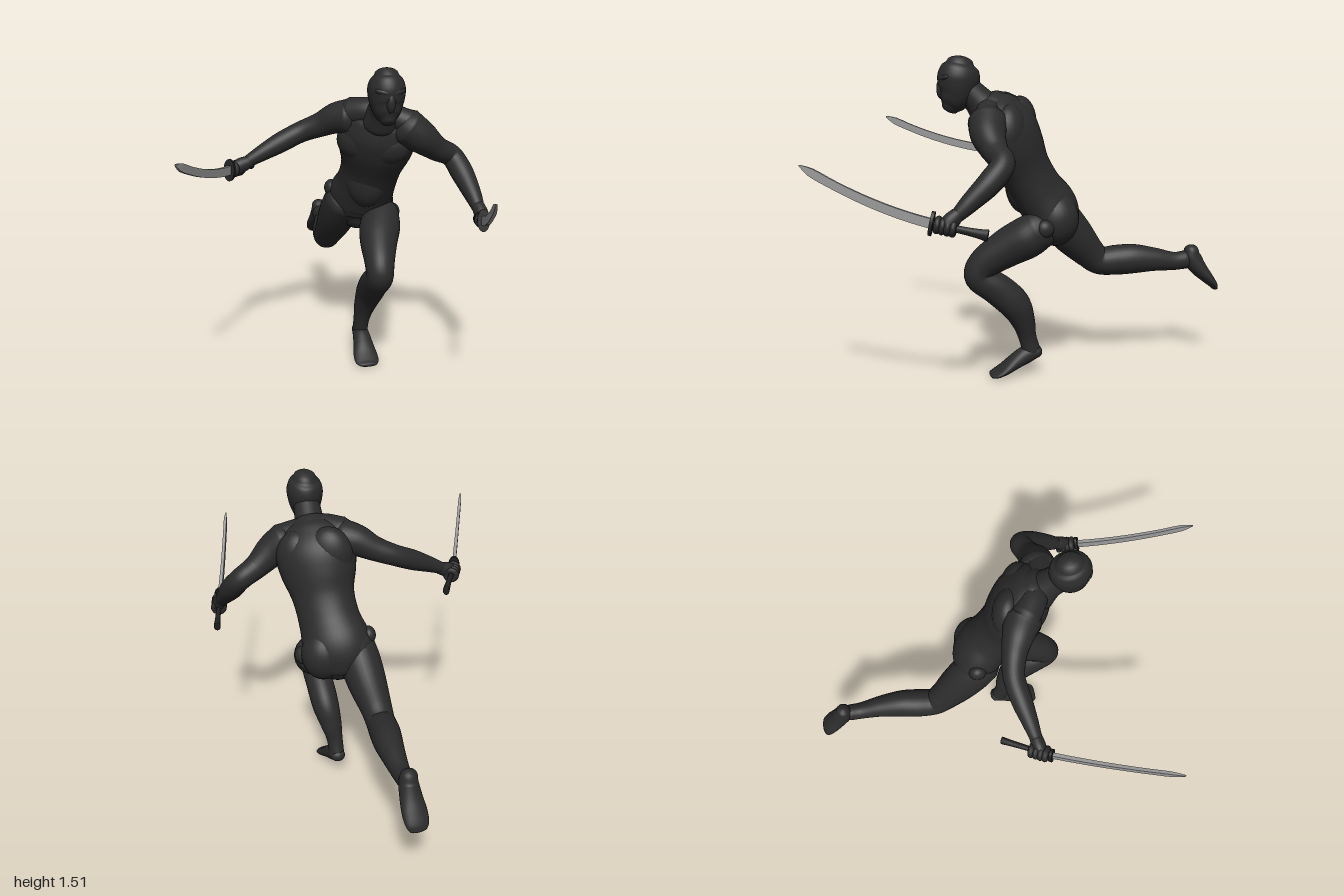
import * as THREE from 'three';

const V = (x, y, z) => new THREE.Vector3(x, y, z);
const X = V(1, 0, 0), Y = V(0, 1, 0);

const cloth = new THREE.MeshStandardMaterial({ color: 0x2b2b2b });
cloth.name = 'charcoal cloth';
const grip = new THREE.MeshStandardMaterial({ color: 0x222222 });
grip.name = 'dark grip';
const steel = new THREE.MeshStandardMaterial({ color: 0x9a9a9a });
steel.name = 'steel';

// Smooth body through sections [x, y, z, radiusA, radiusB]; radiusA lies along the side vector.
function loft(name, sections, { side = X, sideEnd = side, sides = 28, phase = 0, steps = 6, round = 0.6, mat = cloth, flat = false } = {}) {
  const path = new THREE.CatmullRomCurve3(sections.map(s => V(s[0], s[1], s[2])), false, 'catmullrom');
  const size = new THREE.CatmullRomCurve3(sections.map(s => V(s[3], s[4] ?? s[3], 0)), false, 'catmullrom');
  const n = (sections.length - 1) * steps;
  const rings = [];
  const addRing = (t, scale, shift) => {
    const tangent = path.getTangent(t), r = size.getPoint(t);
    const a = side.clone().lerp(sideEnd, t);
    a.addScaledVector(tangent, -a.dot(tangent)).normalize();
    const b = tangent.clone().cross(a);
    const c = path.getPoint(t).addScaledVector(tangent, shift * Math.min(r.x, r.y) * round);
    rings.push({ c, a: a.multiplyScalar(r.x * scale), b: b.multiplyScalar(r.y * scale) });
  };
  const angles = [1.55, 1.25, 0.9, 0.5];
  angles.forEach(p => addRing(0, Math.cos(p), -Math.sin(p)));
  for (let i = 0; i <= n; i++) addRing(i / n, 1, 0);
  [...angles].reverse().forEach(p => addRing(1, Math.cos(p), Math.sin(p)));

  const pos = [], index = [];
  rings.forEach(({ c, a, b }, i) => {
    for (let j = 0; j < sides; j++) {
      const q = j / sides * Math.PI * 2 + phase;
      const p = c.clone().addScaledVector(a, Math.cos(q)).addScaledVector(b, Math.sin(q));
      pos.push(p.x, p.y, p.z);
      if (i === rings.length - 1) continue;
      const k = i * sides + j, l = i * sides + (j + 1) % sides;
      index.push(k, l, k + sides, l, l + sides, k + sides);
    }
  });
  let geo = new THREE.BufferGeometry();
  geo.setAttribute('position', new THREE.Float32BufferAttribute(pos, 3));
  geo.setIndex(index);
  if (flat) geo = geo.toNonIndexed();
  geo.computeVertexNormals();
  const mesh = new THREE.Mesh(geo, mat);
  mesh.name = name;
  return mesh;
}

// Muscle or knob: a stretched sphere turned about y and tilted about z.
function lump(name, p, r, yaw = 0, roll = 0) {
  const mesh = new THREE.Mesh(new THREE.SphereGeometry(1, 28, 18), cloth);
  mesh.name = name;
  mesh.position.set(...p);
  mesh.scale.set(...r);
  mesh.rotation.set(0, yaw, roll);
  return mesh;
}

// Curved sword with guard, handle and the fingers that hold it.
function sword(name, pommel, guard, tip) {
  const g = new THREE.Group();
  g.name = name;
  // Flat-sided blade, full width almost to a slanted tip
  const blade = [0, 0.13, 0.26, 0.39, 0.52, 0.65, 0.78, 0.91, 1].map(t => {
    const p = guard.clone().lerp(tip, t), end = t === 1;
    return [p.x, p.y - 0.1 * t * (1 - t), p.z, end ? 0.004 : 0.029 - 0.005 * t, end ? 0.004 : 0.0125 - 0.003 * t];
  });
  g.add(loft('blade', blade, { side: Y, sides: 4, phase: Math.PI / 4, steps: 2, round: 0.2, mat: steel, flat: true }));

  const at = (t, ...r) => [...guard.clone().lerp(pommel, t).toArray(), ...r];
  g.add(loft('handle', [at(0, 0.016, 0.012), at(0.5, 0.016, 0.012), at(0.8, 0.02, 0.014), at(0.98, 0.026, 0.016)],
    { side: Y, sides: 12, round: 0.2, mat: grip }));

  const dir = guard.clone().sub(pommel).normalize();
  const turn = new THREE.Quaternion().setFromUnitVectors(V(0, 0, 1), dir);
  const disc = new THREE.Mesh(new THREE.CylinderGeometry(0.04, 0.04, 0.014, 20).rotateX(Math.PI / 2), grip);
  disc.name = 'guard';
  disc.position.copy(guard);
  disc.quaternion.copy(turn);
  disc.scale.set(0.7, 1.3, 1);
  g.add(disc);

  // Fingers wrapped round the handle
  for (let i = 0; i < 4; i++) {
    const finger = new THREE.Mesh(new THREE.TorusGeometry(0.025, 0.014, 10, 20), cloth);
    finger.name = 'finger';
    finger.position.copy(guard).addScaledVector(dir, -0.025 - i * 0.022);
    finger.quaternion.copy(turn);
    g.add(finger);
  }
  return g;
}

export function createModel() {
  const model = new THREE.Group();
  const hipAxis = V(0.27, -0.08, 0.11).normalize(), chestAxis = V(0.28, -0.04, 0.15).normalize();
  const yaw = -0.49;

  // Leaning, twisted torso
  model.add(loft('torso', [
    [0.22, 0.69, -0.145, 0.085, 0.085], [0.22, 0.74, -0.145, 0.145, 0.115], [0.22, 0.81, -0.125, 0.163, 0.127],
    [0.23, 0.90, -0.06, 0.145, 0.118], [0.238, 1.0, 0.0, 0.147, 0.118], [0.242, 1.1, 0.05, 0.178, 0.135],
    [0.245, 1.19, 0.09, 0.188, 0.135], [0.245, 1.26, 0.13, 0.155, 0.104], [0.242, 1.30, 0.16, 0.09, 0.07],
  ], { side: hipAxis, sideEnd: chestAxis, sides: 40 }));
  model.add(lump('leftChest', [0.275, 1.13, 0.14], [0.115, 0.1, 0.08], yaw));
  model.add(lump('rightChest', [0.165, 1.145, 0.085], [0.115, 0.1, 0.08], yaw));
  model.add(lump('abdomen', [0.215, 0.95, 0.0], [0.11, 0.16, 0.085], yaw));
  model.add(lump('leftShoulderBlade', [0.33, 1.17, 0.09], [0.1, 0.13, 0.08], yaw));
  model.add(lump('rightShoulderBlade', [0.2, 1.2, 0.015], [0.11, 0.13, 0.075], yaw));
  model.add(lump('leftButtock', [0.285, 0.77, -0.135], [0.105, 0.125, 0.108], yaw));
  model.add(lump('rightButtock', [0.165, 0.79, -0.155], [0.115, 0.12, 0.105], yaw));
  model.add(lump('leftHipKnob', [0.37, 0.74, -0.065], [0.035, 0.042, 0.042]));
  model.add(lump('rightHipKnob', [0.078, 0.85, -0.17], [0.035, 0.042, 0.042]));

  // Neck, sloping shoulders and hooded head
  model.add(loft('neck', [[0.24, 1.25, 0.16, 0.09], [0.236, 1.31, 0.21, 0.068], [0.228, 1.37, 0.27, 0.06]]));
  model.add(loft('shoulderSlope', [
    [0.12, 1.275, 0.07, 0.07], [0.2, 1.285, 0.13, 0.065], [0.29, 1.265, 0.17, 0.06], [0.37, 1.235, 0.2, 0.062],
  ], { side: Y }));
  model.add(loft('head', [
    [0.226, 1.28, 0.338, 0.034, 0.04], [0.226, 1.305, 0.325, 0.056, 0.063], [0.226, 1.345, 0.308, 0.073, 0.083],
    [0.226, 1.385, 0.3, 0.082, 0.093], [0.226, 1.42, 0.297, 0.084, 0.095], [0.226, 1.455, 0.294, 0.074, 0.084],
    [0.226, 1.476, 0.291, 0.055, 0.062],
  ], { sides: 36 }));
  model.add(lump('nose', [0.226, 1.365, 0.378], [0.02, 0.045, 0.02]));
  for (const s of [-1, 1])
    model.add(lump('brow', [0.226 + s * 0.032, 1.412, 0.37], [0.04, 0.014, 0.017], s * 0.4, s * 0.2));

  // Arms and hands
  model.add(loft('rightArm', [
    [0.12, 1.25, 0.06, 0.088], [0.06, 1.24, 0.025, 0.074], [-0.01, 1.205, -0.01, 0.058], [-0.1, 1.168, -0.035, 0.05],
    [-0.2, 1.123, -0.025, 0.048], [-0.29, 1.08, -0.01, 0.038], [-0.355, 1.047, 0, 0.029],
  ], { side: Y }));
  model.add(loft('rightHand', [[-0.35, 1.045, 0, 0.029], [-0.39, 1.03, 0.005, 0.036, 0.032], [-0.42, 1.015, 0.01, 0.034, 0.03]], { side: Y }));
  model.add(loft('leftArm', [
    [0.355, 1.22, 0.19, 0.088], [0.425, 1.17, 0.2, 0.077], [0.505, 1.11, 0.185, 0.058], [0.585, 1.068, 0.168, 0.052],
    [0.62, 1.0, 0.225, 0.053], [0.642, 0.92, 0.315, 0.041], [0.652, 0.87, 0.37, 0.03],
  ], { side: V(0.4, 1, 0.4) }));
  model.add(loft('leftHand', [[0.652, 0.875, 0.37, 0.03], [0.658, 0.845, 0.4, 0.032, 0.037], [0.662, 0.815, 0.42, 0.03, 0.034]]));
  model.add(sword('rightSword', V(-0.32, 0.998, -0.15), V(-0.45, 1.02, 0.05), V(-0.715, 1.18, 0.56)));
  model.add(sword('leftSword', V(0.705, 0.79, 0.25), V(0.64, 0.838, 0.475), V(0.48, 1.07, 0.995)));

  // Front leg: bent knee, heel lifted
  model.add(loft('leftLeg', [
    [0.315, 0.735, -0.06, 0.085, 0.09], [0.29, 0.69, 0.0, 0.1, 0.097], [0.262, 0.64, 0.085, 0.092, 0.09],
    [0.24, 0.565, 0.19, 0.072, 0.074], [0.235, 0.5, 0.215, 0.065, 0.066], [0.232, 0.44, 0.13, 0.068, 0.075],
    [0.23, 0.36, 0.045, 0.066, 0.074], [0.217, 0.27, 0.0, 0.053, 0.056], [0.207, 0.19, -0.022, 0.04, 0.043],
    [0.205, 0.11, -0.045, 0.038, 0.044],
  ]));
  model.add(loft('leftFoot', [
    [0.205, 0.115, -0.07, 0.036, 0.03], [0.205, 0.102, -0.02, 0.042, 0.042], [0.204, 0.071, 0.035, 0.05, 0.036],
    [0.203, 0.038, 0.085, 0.06, 0.026], [0.203, 0.018, 0.125, 0.06, 0.017], [0.203, 0.011, 0.15, 0.046, 0.011],
  ], { round: 0.8 }));

  // Trailing leg: shin level, toes down
  model.add(loft('rightLeg', [
    [0.135, 0.8, -0.14, 0.09, 0.1], [0.128, 0.73, -0.2, 0.096, 0.105], [0.118, 0.65, -0.27, 0.09, 0.098],
    [0.105, 0.565, -0.35, 0.074, 0.078], [0.103, 0.52, -0.405, 0.068, 0.068], [0.115, 0.522, -0.49, 0.07, 0.073],
    [0.13, 0.527, -0.57, 0.066, 0.072], [0.142, 0.522, -0.67, 0.054, 0.058], [0.148, 0.51, -0.77, 0.042, 0.045],
    [0.15, 0.515, -0.835, 0.04, 0.045],
  ]));
  model.add(loft('rightFoot', [
    [0.15, 0.56, -0.862, 0.038, 0.036], [0.152, 0.52, -0.868, 0.043, 0.047], [0.153, 0.47, -0.902, 0.05, 0.04],
    [0.153, 0.425, -0.943, 0.056, 0.03], [0.153, 0.39, -0.975, 0.052, 0.021], [0.153, 0.37, -0.988, 0.04, 0.014],
  ], { round: 0.8 }));

  return model;
}
